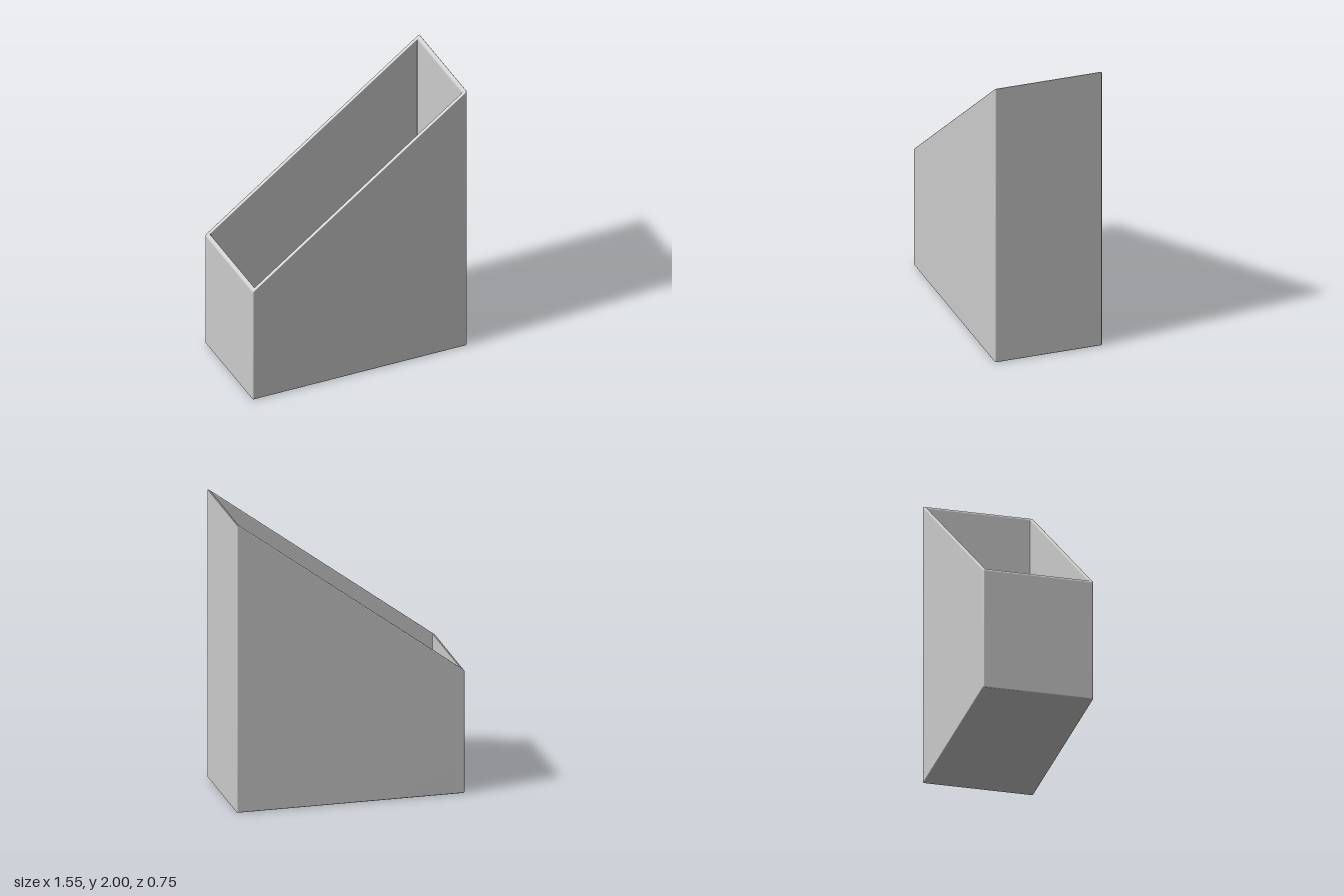
import * as THREE from 'three';

const HX = 0.775, HZ = 0.375;   // outer half sizes
const WALL = 0.025, BEVEL = 0.008, CORNER = 0.01;
const ARC = 4;                  // segments per rounded edge

// Height of the slanted opening, low on the right and high on the left
const rimY = (x) => 2 + (x - HX + BEVEL) * 0.745;

// Rounded rectangle, inset from the outer walls; height(x) gives y
function ring(inset, height, scale = 1) {
  const r = Math.max(CORNER - inset, 0.005);
  const points = [];
  for (let corner = 0; corner < 4; corner++) {
    const sx = corner === 0 || corner === 3 ? 1 : -1;
    const sz = corner < 2 ? 1 : -1;
    for (let i = 0; i <= ARC; i++) {
      const a = (corner + i / ARC) * Math.PI / 2;
      const x = (sx * (HX - inset - r) + r * Math.cos(a)) * scale;
      const z = (sz * (HZ - inset - r) + r * Math.sin(a)) * scale;
      points.push([x, height(x), z]);
    }
  }
  return points;
}

// Join consecutive rings into one smooth skin
function skin(rings) {
  const n = rings[0].length, index = [];
  for (let i = 0; i < rings.length - 1; i++) {
    for (let j = 0; j < n; j++) {
      const k = (j + 1) % n;
      const a = i * n + j, b = i * n + k, c = a + n, d = b + n;
      index.push(a, c, b, b, c, d);
    }
  }
  const geometry = new THREE.BufferGeometry();
  geometry.setAttribute('position', new THREE.Float32BufferAttribute(rings.flat(2), 3));
  geometry.setIndex(index);
  geometry.computeVertexNormals();
  return geometry;
}

export function createModel() {
  const group = new THREE.Group();
  group.name = 'magazineHolder';

  const rings = [ring(BEVEL, () => 0, 0)];  // centre of the underside
  const arc = (make) => {
    for (let i = 0; i <= ARC; i++) {
      const a = i / ARC * Math.PI / 2;
      rings.push(make(BEVEL * (1 - Math.sin(a)), BEVEL * (1 - Math.cos(a))));
    }
  };
  // Rounded bottom edge
  arc((s, c) => ring(s, () => c));
  // Outer and inner edges of the slanted rim
  arc((s, c) => ring(c, (x) => rimY(x) - s));
  arc((s, c) => ring(WALL - s, (x) => rimY(x) - c));
  // Fillet down to the inside floor
  arc((s, c) => ring(WALL + c, () => WALL + s));
  rings.push(ring(WALL + BEVEL, () => WALL, 0));

  const body = new THREE.Mesh(skin(rings), new THREE.MeshStandardMaterial({ color: 0xcccccc }));
  body.name = 'openBox';
  group.add(body);
  return group;
}
